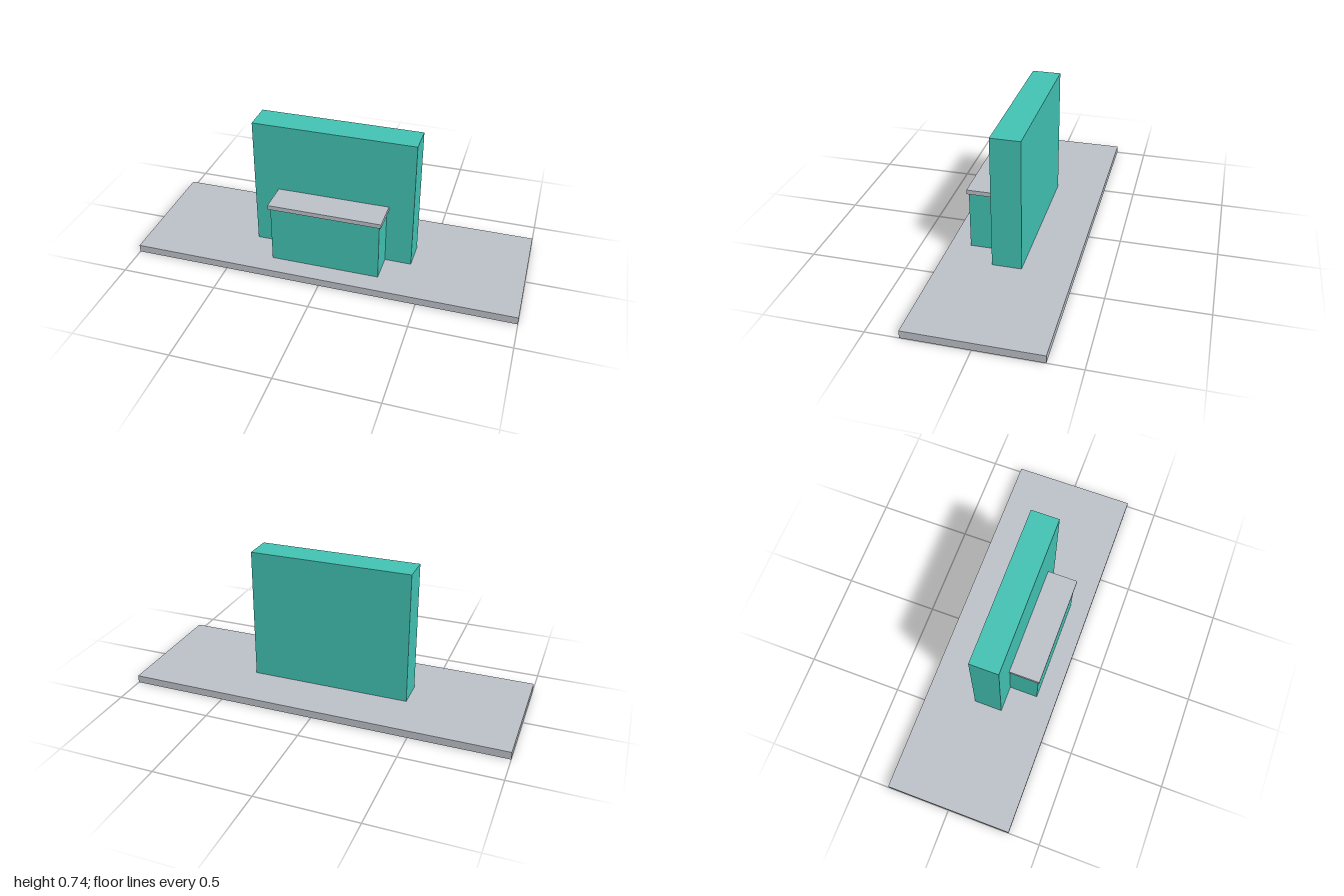
import * as THREE from 'three';

export function createModel() {
  const group = new THREE.Group();
  const teal = new THREE.MeshStandardMaterial({ name: 'teal', color: 0x42c2b3 });
  const grey = new THREE.MeshStandardMaterial({ name: 'grey', color: 0xbcc1c8 });

  // Box centred on x, given its width and its y and z extents
  function block(name, material, width, y0, y1, z0, z1) {
    const mesh = new THREE.Mesh(new THREE.BoxGeometry(width, y1 - y0, z1 - z0), material);
    mesh.name = name;
    mesh.position.set(0, (y0 + y1) / 2, (z0 + z1) / 2);
    group.add(mesh);
  }

  // Ground slab, its underside a hair above the footings so they show cleanly
  block('baseSlab', grey, 2, 0.0005, 0.04, -0.333, 0.333);

  // Upright wall and the counter in front of it, both set through the slab
  block('backWall', teal, 0.84, 0, 0.735, -0.075, 0.075);
  block('counter', teal, 0.565, 0, 0.347, 0.075, 0.227);

  // Overhanging counter top
  block('counterTop', grey, 0.585, 0.347, 0.37, 0.075, 0.236);

  return group;
}
